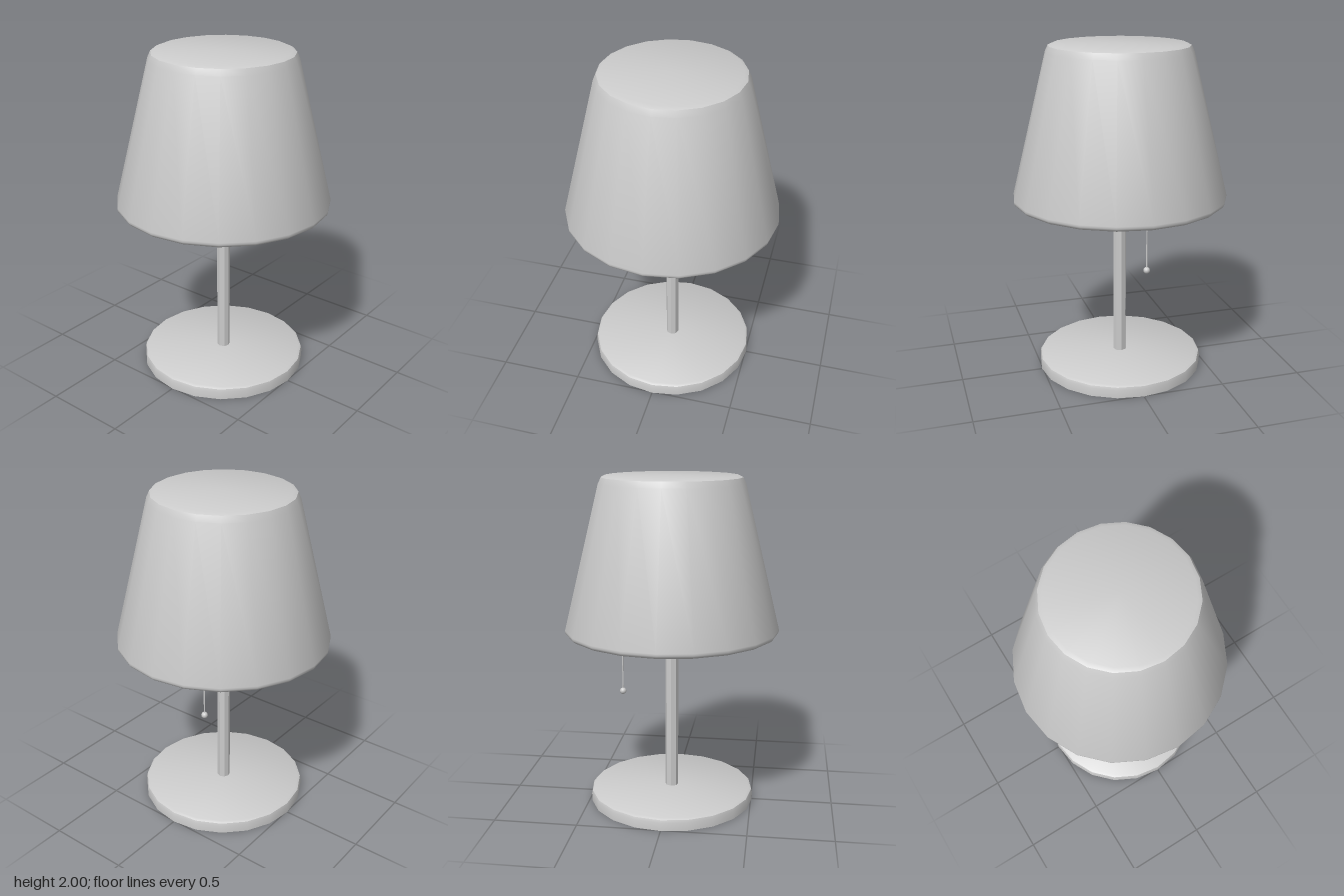
import * as THREE from 'three';
import { toCreasedNormals } from 'three/addons/utils/BufferGeometryUtils.js';

const material = new THREE.MeshStandardMaterial({ color: 0xcccccc });

// Turned part from a profile of [radius, y] pairs; outer walls run upward
function turned(name, profile, sides, crease = 0.7) {
  const points = profile.map(([r, y]) => new THREE.Vector2(r, y));
  const mesh = new THREE.Mesh(
    toCreasedNormals(new THREE.LatheGeometry(points, sides), crease), material);
  mesh.name = name;
  return mesh;
}

// Half-round lip joining the inner and outer walls of the shade
function roundLip(r, y, radius, steps) {
  return Array.from({ length: steps + 1 }, (_, i) => {
    const a = Math.PI * (1.078 + i / steps);
    return [r + radius * Math.cos(a), y + radius * Math.sin(a)];
  });
}

export function createModel() {
  const lamp = new THREE.Group();
  lamp.name = 'tableLamp';

  // Round foot with a softened upper edge
  lamp.add(turned('base', [
    [0, 0], [0.507, 0], [0.507, 0.05], [0.502, 0.066], [0.487, 0.075], [0, 0.075],
  ], 20));

  // Octagonal pole reaching the ceiling of the shade
  lamp.add(turned('pole', [[0.04, 0.07], [0.04, 1.66]], 8));

  // Shade: low ceiling, tapering inner wall, lip, outer wall, closed top
  lamp.add(turned('shade', [
    [0, 1.65], [0.22, 1.65], [0.265, 1.62],
    ...roundLip(0.617, 1.096, 0.026, 7),
    [0.43, 1.955], [0.413, 1.99], [0.39, 2], [0, 2],
  ], 20, 0.55));

  // Pull cord with a small bead, hanging behind the pole
  const pull = new THREE.Group();
  pull.name = 'pullCord';
  pull.position.set(-0.08, 0, -0.29);
  pull.add(turned('cord', [[0.004, 0.71], [0.004, 1.58]], 8, 1));
  const bead = new THREE.Mesh(new THREE.SphereGeometry(0.02, 12, 8), material);
  bead.name = 'bead';
  bead.position.y = 0.705;
  pull.add(bead);
  lamp.add(pull);

  return lamp;
}
